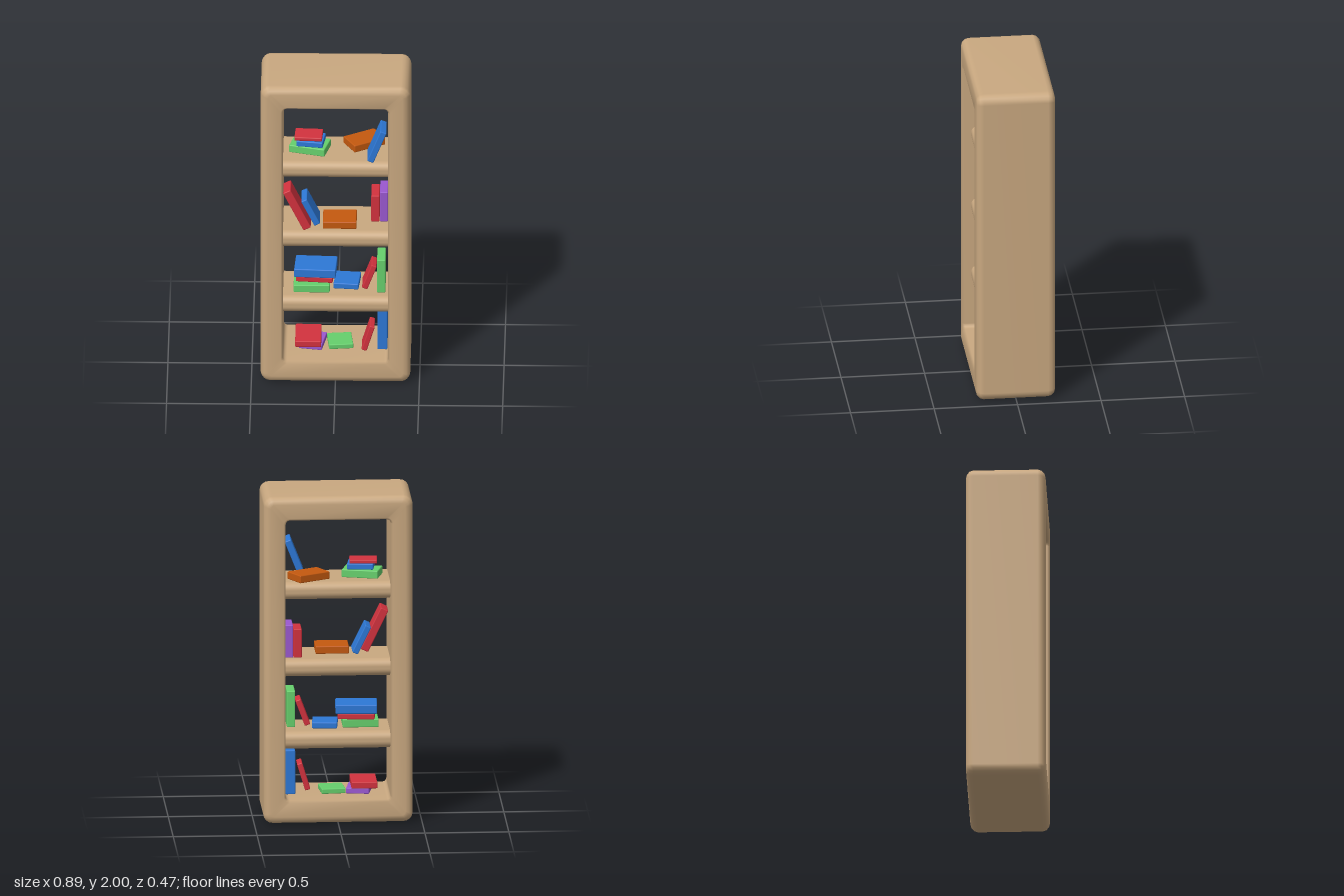
import * as THREE from 'three';
import { RoundedBoxGeometry } from 'three/addons/geometries/RoundedBoxGeometry.js';

const colours = { wood: 0xc9a880, red: 0xd2323e, blue: 0x2d78d6, green: 0x66cf6c, orange: 0xc4590f, purple: 0x9a58d0 };

// Points of a rounded rectangle, counter-clockwise, centred on y = 1
function ring(hx, hy, r, z, segs = 4) {
  const pts = [];
  for (let c = 0; c < 4; c++) {
    const sx = c === 0 || c === 3 ? 1 : -1, sy = c < 2 ? 1 : -1;
    for (let k = 0; k <= segs; k++) {
      const a = (c + k / segs) * Math.PI / 2;
      pts.push([sx * (hx - r) + r * Math.cos(a), 1 + sy * (hy - r) + r * Math.sin(a), z]);
    }
  }
  return pts;
}

// Case: rings run round the outside, over the front, through the opening and back
function frameGeometry() {
  const HX = 0.445, HY = 1, HZ = 0.237, B = 0.045;
  const half = [];
  for (let k = 0; k <= 3; k++) {
    const a = k / 3 * Math.PI / 2, inset = B * (1 - Math.cos(a));
    half.push([HX - inset, HY - inset, 0.055 - inset * 0.7, HZ - B + B * Math.sin(a)]);
  }
  half.push([0.325, 0.87, 0.035, HZ], [0.313, 0.858, 0.025, HZ - 0.014]);
  const mirrored = half.map(([x, y, r, z]) => [x, y, r, -z]).reverse();
  // start at the back of the opening, come out over the back, then the front
  const rings = [...mirrored, ...half].map((p) => ring(...p));
  const n = rings[0].length, index = [];
  rings.forEach((_, i) => {
    const i2 = (i + 1) % rings.length;
    for (let j = 0; j < n; j++) {
      const j2 = (j + 1) % n;
      const a = i * n + j, b = i * n + j2, c = i2 * n + j2, d = i2 * n + j;
      index.push(a, b, c, a, c, d);
    }
  });
  const g = new THREE.BufferGeometry();
  g.setAttribute('position', new THREE.Float32BufferAttribute(rings.flat(2), 3));
  g.setIndex(index);
  g.computeVertexNormals();
  return g;
}

export function createModel() {
  const group = new THREE.Group();
  group.name = 'bookcase';
  const mats = {};
  for (const [name, color] of Object.entries(colours)) {
    mats[name] = new THREE.MeshStandardMaterial({ color });
    mats[name].name = name;
  }

  const add = (name, geometry, colour, x, y, z) => {
    const m = new THREE.Mesh(geometry, mats[colour]);
    m.name = name;
    m.position.set(x, y, z);
    group.add(m);
    return m;
  };
  const deg = THREE.MathUtils.degToRad;
  const bookGeometry = (w, h, d) => new RoundedBoxGeometry(w, h, d, 2, 0.006);

  // Book lying flat on height y, turned about the vertical
  const flat = (colour, w, t, d, x, y, z, turn = 0) => {
    add('flatBook', bookGeometry(w, t, d), colour, x, y + t / 2, z).rotation.y = deg(turn);
  };
  // Book standing with its centre at x, y, leaning to +x by an angle
  const upright = (colour, t, h, d, x, y, z, lean = 0) => {
    add('uprightBook', bookGeometry(t, h, d), colour, x, y, z).rotation.z = -deg(lean);
  };

  // Case and shelves
  add('frame', frameGeometry(), 'wood', 0, 0, 0);
  for (const y of [0.495, 0.938, 1.41]) {
    add('shelf', new RoundedBoxGeometry(0.74, 0.105, 0.37, 4, 0.045), 'wood', 0, y, 0);
  }

  // Bottom compartment
  flat('purple', 0.14, 0.035, 0.17, -0.137, 0.144, 0, -10);
  flat('red', 0.155, 0.04, 0.22, -0.164, 0.179, 0.01);
  flat('green', 0.145, 0.032, 0.15, 0.025, 0.144, 0, 6);
  upright('red', 0.032, 0.17, 0.12, 0.193, 0.235, 0.05, 17);
  upright('blue', 0.06, 0.27, 0.16, 0.277, 0.28, 0);

  // Second compartment
  flat('green', 0.215, 0.05, 0.19, -0.143, 0.548, 0.02);
  flat('red', 0.22, 0.036, 0.16, -0.122, 0.598, 0, -5);
  flat('blue', 0.248, 0.055, 0.18, -0.12, 0.634, 0, -3);
  flat('blue', 0.15, 0.037, 0.16, 0.067, 0.548, -0.01, -5);
  upright('red', 0.034, 0.165, 0.12, 0.2, 0.635, 0.02, 20.5);
  upright('green', 0.05, 0.222, 0.16, 0.271, 0.659, 0.03);

  // Third compartment
  upright('red', 0.05, 0.28, 0.13, -0.23, 1.122, 0.08, -26);
  upright('blue', 0.038, 0.183, 0.145, -0.15, 1.078, 0.02, -26);
  flat('orange', 0.2, 0.047, 0.16, 0.024, 0.99, 0.05);
  upright('red', 0.05, 0.176, 0.15, 0.235, 1.077, -0.04);
  upright('purple', 0.048, 0.2, 0.15, 0.286, 1.09, -0.04);

  // Top compartment
  flat('green', 0.22, 0.049, 0.145, -0.155, 1.461, 0, -15);
  flat('blue', 0.158, 0.036, 0.13, -0.148, 1.51, 0.005, -8);
  flat('red', 0.165, 0.024, 0.12, -0.162, 1.546, 0, -3);
  flat('orange', 0.21, 0.047, 0.14, 0.168, 1.461, -0.07, 30);
  upright('blue', 0.04, 0.217, 0.15, 0.246, 1.572, 0.1, 21.5);

  return group;
}
